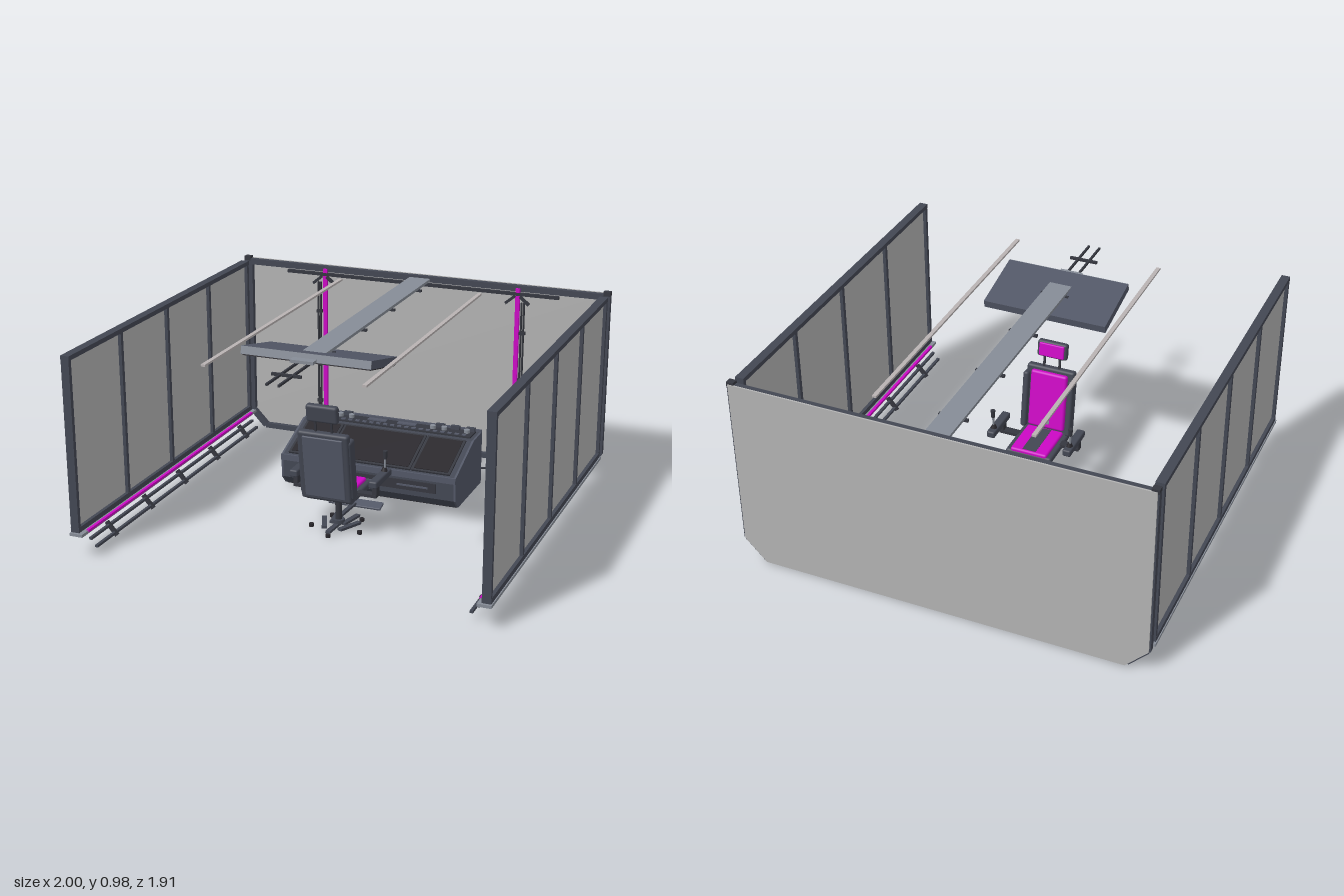
import * as THREE from 'three';
import { RoundedBoxGeometry } from 'three/addons/geometries/RoundedBoxGeometry.js';

const mat = (name, color, side = THREE.FrontSide) => {
  const m = new THREE.MeshStandardMaterial({ color, side });
  m.name = name;
  return m;
};
const M = {
  frame: mat('frame slate', 0x434753),
  slate: mat('panel slate', 0x525766),
  dark: mat('dark trim', 0x35373f),
  black: mat('screen black', 0x29272c),
  beam: mat('beam grey', 0x868c96),
  pane: mat('pane grey', 0xb2b2b2, THREE.DoubleSide),
  light: mat('light rod', 0xb8b2b2),
  magenta: mat('magenta', 0xcc08c4),
};

function add(parent, name, geo, m, x = 0, y = 0, z = 0) {
  const mesh = new THREE.Mesh(geo, m);
  mesh.name = name;
  mesh.position.set(x, y, z);
  parent.add(mesh);
  return mesh;
}
const box = (p, name, m, w, h, d, x, y, z) => add(p, name, new THREE.BoxGeometry(w, h, d), m, x, y, z);
const soft = (p, name, m, w, h, d, x, y, z, r = 0.012) =>
  add(p, name, new RoundedBoxGeometry(w, h, d, 2, r), m, x, y, z);
const cyl = (p, name, m, r, h, x, y, z, r2 = r) =>
  add(p, name, new THREE.CylinderGeometry(r2, r, h, 12), m, x, y, z);
function group(parent, name, x = 0, y = 0, z = 0) {
  const g = new THREE.Group();
  g.name = name;
  g.position.set(x, y, z);
  parent.add(g);
  return g;
}
// Square bar running between two points
function bar(p, name, m, a, b, w, h = w) {
  const A = new THREE.Vector3(...a), B = new THREE.Vector3(...b);
  const mesh = box(p, name, m, w, h, A.distanceTo(B), 0, 0, 0);
  mesh.position.copy(A).add(B).multiplyScalar(0.5);
  mesh.lookAt(B);
  return mesh;
}

function sideWall(root, s) {
  const g = group(root, s > 0 ? 'leftWall' : 'rightWall');
  box(g, 'sidePane', M.pane, 0.008, 0.82, 1.82, s * 0.975, 0.54, 0.03);
  box(g, 'topRail', M.frame, 0.042, 0.022, 1.83, s * 0.975, 0.95, 0.033);
  box(g, 'bottomRail', M.frame, 0.042, 0.025, 1.83, s * 0.975, 0.135, 0.033);
  box(g, 'sill', M.beam, 0.065, 0.014, 1.85, s * 0.967, 0.113, 0.03);
  for (const z of [0.938, 0.48, 0.03, -0.42, -0.872])
    box(g, 'mullion', M.frame, 0.04, 0.83, 0.02, s * 0.975, 0.54, z);
  box(g, 'glowStrip', M.magenta, 0.014, 0.012, 1.74, s * 0.938, 0.118, 0.03);
  // Twin service rails with clips
  for (const [x, y] of [[0.925, 0.082], [0.896, 0.049]])
    box(g, 'serviceRail', M.frame, 0.014, 0.012, 1.72, s * x, y, 0.04);
  for (const z of [-0.68, -0.33, 0.03, 0.38, 0.73])
    bar(g, 'railClip', M.dark, [s * 0.938, 0.098, z], [s * 0.885, 0.036, z], 0.014, 0.02);
}

function backWall(root) {
  const g = group(root, 'backWall');
  const outline = new THREE.Shape([[-0.99, 0.12], [-0.885, 0.01], [0.885, 0.01], [0.99, 0.12],
    [0.99, 0.965], [-0.99, 0.965]].map(p => new THREE.Vector2(...p)));
  add(g, 'backPane', new THREE.ExtrudeGeometry(outline, { depth: 0.008, bevelEnabled: false }), M.pane, 0, 0, -0.956);
  box(g, 'topFrame', M.frame, 1.99, 0.03, 0.028, 0, 0.948, -0.936);
  box(g, 'bottomFrame', M.frame, 1.78, 0.026, 0.028, 0, 0.026, -0.936);
  box(g, 'lampRail', M.dark, 1.48, 0.016, 0.016, 0, 0.921, -0.918);
  for (const s of [-1, 1]) {
    box(g, 'sideFrame', M.frame, 0.045, 0.84, 0.028, s * 0.975, 0.54, -0.936);
    box(g, 'cornerCap', M.dark, 0.035, 0.022, 0.032, s * 0.98, 0.965, -0.936);
    bar(g, 'chamferFrame', M.frame, [s * 0.98, 0.12, -0.936], [s * 0.89, 0.026, -0.936], 0.028, 0.03);
    box(g, 'glowPost', M.magenta, 0.022, 0.93, 0.014, s * 0.526, 0.485, -0.918);
    // Cable rail beside the glow post
    for (const x of [0.55, 0.563])
      box(g, 'cableRail', M.dark, 0.007, 0.87, 0.012, s * x, 0.445, -0.91);
    for (const y of [0.22, 0.47, 0.72])
      box(g, 'railClip', M.dark, 0.03, 0.016, 0.018, s * 0.557, y, -0.912);
    for (const [x, d] of [[0.49, -1], [0.565, 1]])
      bar(g, 'lamp', M.dark, [s * (x - d * 0.024), 0.912, -0.905], [s * (x + d * 0.024), 0.872, -0.905], 0.014);
    // Floor cable running to the console
    const path = [[0.56, 0.1, -0.905], [0.56, 0.02, -0.9], [0.553, 0.02, -0.815], [0.205, 0.02, -0.685], [0.205, 0.02, -0.585]];
    for (let i = 1; i < path.length; i++)
      for (const o of [-0.006, 0.006])
        bar(g, 'floorCable', M.dark, [s * (path[i - 1][0] + o), path[i - 1][1], path[i - 1][2]],
          [s * (path[i][0] + o), path[i][1], path[i][2]], 0.007);
  }
}

function ceiling(root) {
  const g = group(root, 'ceiling');
  box(g, 'ceilingBeam', M.beam, 0.112, 0.014, 1.53, 0, 0.945, -0.165);
  for (const s of [-1, 1]) {
    box(g, 'lightRod', M.light, 0.02, 0.01, 1.56, s * 0.375, 0.945, 0.02);
    box(g, 'beamRail', M.dark, 0.01, 0.01, 1.78, s * 0.028, 0.933, 0.01);
  }
  for (const z of [-0.75, -0.37, 0, 0.38, 0.755])
    box(g, 'railClip', M.dark, 0.14, 0.012, 0.014, 0, 0.933, z);
  // Tilted overhead panel with a perforated underside
  const p = group(g, 'overheadPanel', 0, 0.92, 0.4);
  p.rotation.x = -0.222;
  box(p, 'panelBody', M.slate, 0.62, 0.038, 0.315, 0, 0, 0);
  box(p, 'panelFace', M.beam, 0.62, 0.036, 0.004, 0, 0, 0.159);
  box(p, 'panelUnderside', M.black, 0.61, 0.006, 0.305, 0, -0.021, 0);
  for (let i = 0; i < 16; i++)
    for (const z of [-0.09, 0, 0.09])
      box(p, 'panelCell', M.slate, 0.018, 0.004, 0.035, -0.27 + i * 0.036, -0.025, z);
}

function consoleDesk(root) {
  const g = group(root, 'console');
  const side = new THREE.Shape([[-0.59, 0.012], [-0.23, 0.012], [-0.185, 0.06], [-0.185, 0.18],
    [-0.455, 0.28], [-0.59, 0.285]].map(p => new THREE.Vector2(...p)));
  const geo = new THREE.ExtrudeGeometry(side, { depth: 0.9, bevelEnabled: false });
  geo.rotateY(-Math.PI / 2).translate(0.45, 0, 0);
  add(g, 'consoleBody', geo, M.frame);
  for (const s of [-1, 1]) {
    const end = new THREE.ExtrudeGeometry(side, { depth: 0.01, bevelEnabled: false });
    end.rotateY(-Math.PI / 2).translate(s * 0.455 + 0.005, 0, 0);
    add(g, 'endPanel', end, M.slate);
  }
  box(g, 'deskLip', M.slate, 0.92, 0.03, 0.02, 0, 0.166, -0.187);
  box(g, 'underside', M.black, 0.9, 0.006, 0.35, 0, 0.011, -0.41);
  box(g, 'glowStrip', M.magenta, 0.9, 0.012, 0.008, 0, 0.022, -0.593);
  box(g, 'rearEdge', M.slate, 0.92, 0.02, 0.012, 0, 0.286, -0.584);
  box(g, 'drawerFront', M.dark, 0.72, 0.05, 0.008, 0, 0.113, -0.182);
  for (const x of [-0.24, 0, 0.24]) box(g, 'drawerHandle', M.slate, 0.16, 0.008, 0.008, x, 0.113, -0.176);
  // Screens lying on the sloped top
  const slope = group(g, 'screens', 0, 0.233, -0.32);
  slope.rotation.x = 0.355;
  for (const [x, w] of [[-0.325, 0.2], [0, 0.44], [0.325, 0.2]]) {
    box(slope, 'screenBezel', M.dark, w, 0.012, 0.265, x, 0, 0);
    box(slope, 'screen', M.black, w - 0.025, 0.006, 0.24, x, 0.006, 0);
  }
  // Rear shelf: switch row, keys and knobs
  box(g, 'rearShelf', M.dark, 0.87, 0.008, 0.09, 0, 0.287, -0.52);
  for (let i = 0; i < 22; i++) box(g, 'key', M.slate, 0.022, 0.006, 0.016, -0.4 + i * 0.038, 0.293, -0.49);
  for (const s of [-1, 1]) {
    for (const x of [0.22, 0.28, 0.4]) cyl(g, 'knob', M.beam, 0.015, 0.018, s * x, 0.299, -0.53);
    for (const x of [0.25, 0.33, 0.41]) box(g, 'switchBox', M.frame, 0.045, 0.02, 0.02, s * x, 0.3, -0.56);
    box(g, 'keyPad', M.slate, 0.1, 0.008, 0.03, s * 0.08, 0.293, -0.535);
  }
}

function chair(root) {
  const g = group(root, 'chair', 0, 0, 0.18);
  // Five-legged base with castors
  for (let i = 0; i < 5; i++) {
    const a = Math.PI / 2 + i * Math.PI * 0.4, x = Math.cos(a), z = Math.sin(a);
    bar(g, 'baseLeg', M.frame, [0, 0.03, 0], [x * 0.135, 0.018, z * 0.135], 0.024, 0.012);
    cyl(g, 'castor', M.black, 0.012, 0.016, x * 0.13, 0.009, z * 0.13);
  }
  cyl(g, 'baseHub', M.frame, 0.03, 0.02, 0, 0.035, 0);
  cyl(g, 'column', M.dark, 0.016, 0.14, 0, 0.1, 0);
  box(g, 'seatMount', M.dark, 0.12, 0.02, 0.14, 0, 0.17, 0);
  // Footrest reaching toward the console
  bar(g, 'footrestArm', M.frame, [0, 0.06, -0.02], [0, 0.035, -0.2], 0.02, 0.012);
  const foot = soft(g, 'footrest', M.slate, 0.27, 0.012, 0.055, 0, 0.04, -0.222, 0.004);
  foot.rotation.x = 0.3;
  // Seat
  soft(g, 'seatBase', M.frame, 0.24, 0.035, 0.25, 0, 0.195, 0);
  soft(g, 'seatPad', M.magenta, 0.19, 0.025, 0.225, 0, 0.213, -0.01, 0.01);
  box(g, 'seatSeam', M.frame, 0.07, 0.006, 0.2, 0, 0.224, -0.01);
  // Back and headrest
  const back = group(g, 'back', 0, 0.2, 0.115);
  back.rotation.x = 0.14;
  soft(back, 'backShell', M.frame, 0.25, 0.35, 0.04, 0, 0.17, 0.015);
  soft(back, 'backCover', M.slate, 0.2, 0.31, 0.012, 0, 0.17, 0.036, 0.005);
  soft(back, 'backPad', M.magenta, 0.19, 0.3, 0.03, 0, 0.175, -0.012);
  box(back, 'lumbarDial', M.beam, 0.04, 0.018, 0.006, 0, 0.06, -0.028);
  for (const s of [-1, 1]) {
    soft(back, 'backBolster', M.frame, 0.03, 0.3, 0.06, s * 0.118, 0.16, -0.005);
    box(back, 'headrestPost', M.dark, 0.01, 0.08, 0.01, s * 0.04, 0.375, 0.01);
  }
  soft(back, 'headrest', M.frame, 0.155, 0.085, 0.035, 0, 0.44, 0.012);
  soft(back, 'headrestPad', M.magenta, 0.13, 0.068, 0.012, 0, 0.44, -0.008, 0.005);
  // Armrests with control sticks
  for (const s of [-1, 1]) {
    box(g, 'armBracket', M.dark, 0.1, 0.015, 0.04, s * 0.16, 0.205, 0.03);
    box(g, 'armPost', M.dark, 0.022, 0.06, 0.035, s * 0.2, 0.23, 0.03);
    soft(g, 'armrest', M.frame, 0.042, 0.035, 0.2, s * 0.2, 0.27, -0.025, 0.008);
    cyl(g, 'stickBoot', M.black, 0.017, 0.02, s * 0.2, 0.295, -0.08, 0.009);
    cyl(g, 'stick', M.beam, 0.005, 0.06, s * 0.203, 0.325, -0.08);
    cyl(g, 'stickGrip', M.dark, 0.009, 0.04, s * 0.204, 0.368, -0.08, 0.012);
  }
}

export function createModel() {
  const root = new THREE.Group();
  root.name = 'controlCabin';
  backWall(root);
  for (const s of [-1, 1]) sideWall(root, s);
  ceiling(root);
  consoleDesk(root);
  chair(root);
  return root;
}
